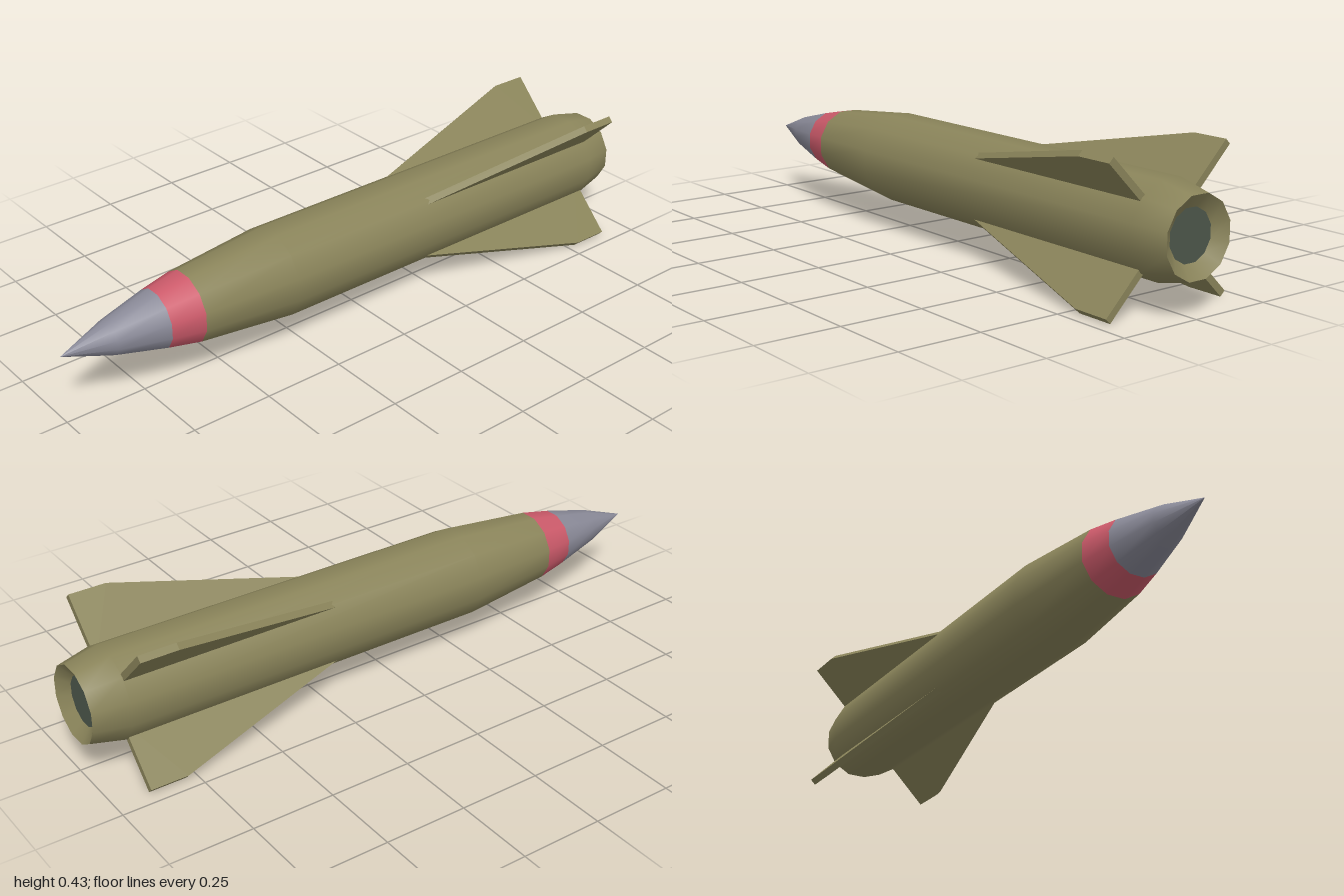
import * as THREE from 'three';

const AXIS_Y = 0.215;
const SIDES = 12;
const FIN_THICKNESS = 0.021;

const paint = (color) => new THREE.MeshStandardMaterial({ color });
const olive = paint(0x8a845a);
const red = paint(0xcc5a6a);
const grey = paint(0x8a8a98);
const dark = paint(0x4d574b);

// Twelve-sided section turned around the x axis; profile is [x, radius] pairs
function turned(name, profile, material) {
  const points = profile.map(([x, r]) => new THREE.Vector2(r, x));
  const geometry = new THREE.LatheGeometry(points, SIDES, Math.PI / SIDES);
  geometry.rotateZ(-Math.PI / 2);
  const mesh = new THREE.Mesh(geometry, material);
  mesh.name = name;
  return mesh;
}

// Swept fin plate lying in the xy plane, root buried in the body
function finGeometry() {
  const shape = new THREE.Shape([
    [0.2, 0.09], [0.2, 0.133], [0.78, 0.293], [0.895, 0.293], [0.895, 0.09],
  ].map(([x, y]) => new THREE.Vector2(x, y)));
  const geometry = new THREE.ExtrudeGeometry(shape, { depth: FIN_THICKNESS, bevelEnabled: false });
  geometry.translate(0, 0, -FIN_THICKNESS / 2);
  return geometry;
}

export function createModel() {
  const model = new THREE.Group();
  model.name = 'missile';

  const assembly = new THREE.Group();
  assembly.name = 'airframe';
  assembly.position.y = AXIS_Y;
  model.add(assembly);

  // Nose, warning band and body
  assembly.add(
    turned('noseCone', [[-1, 0], [-0.85, 0.053], [-0.7, 0.09]], grey),
    turned('noseBand', [[-0.7, 0.09], [-0.6, 0.11]], red),
    turned('body', [[-0.6, 0.11], [-0.3, 0.14], [0.895, 0.14], [1, 0.116]], olive),
  );

  // Recessed exhaust
  assembly.add(
    turned('exhaustFunnel', [[1, 0.116], [0.97, 0.0755]], olive),
    turned('exhaustFloor', [[0.97, 0.0755], [0.97, 0]], dark),
  );

  // Four tail fins in an X
  const geometry = finGeometry();
  for (let i = 0; i < 4; i++) {
    const fin = new THREE.Mesh(geometry, olive);
    fin.name = `tailFin${i + 1}`;
    fin.rotation.x = Math.PI / 4 + (i * Math.PI) / 2;
    assembly.add(fin);
  }

  return model;
}
